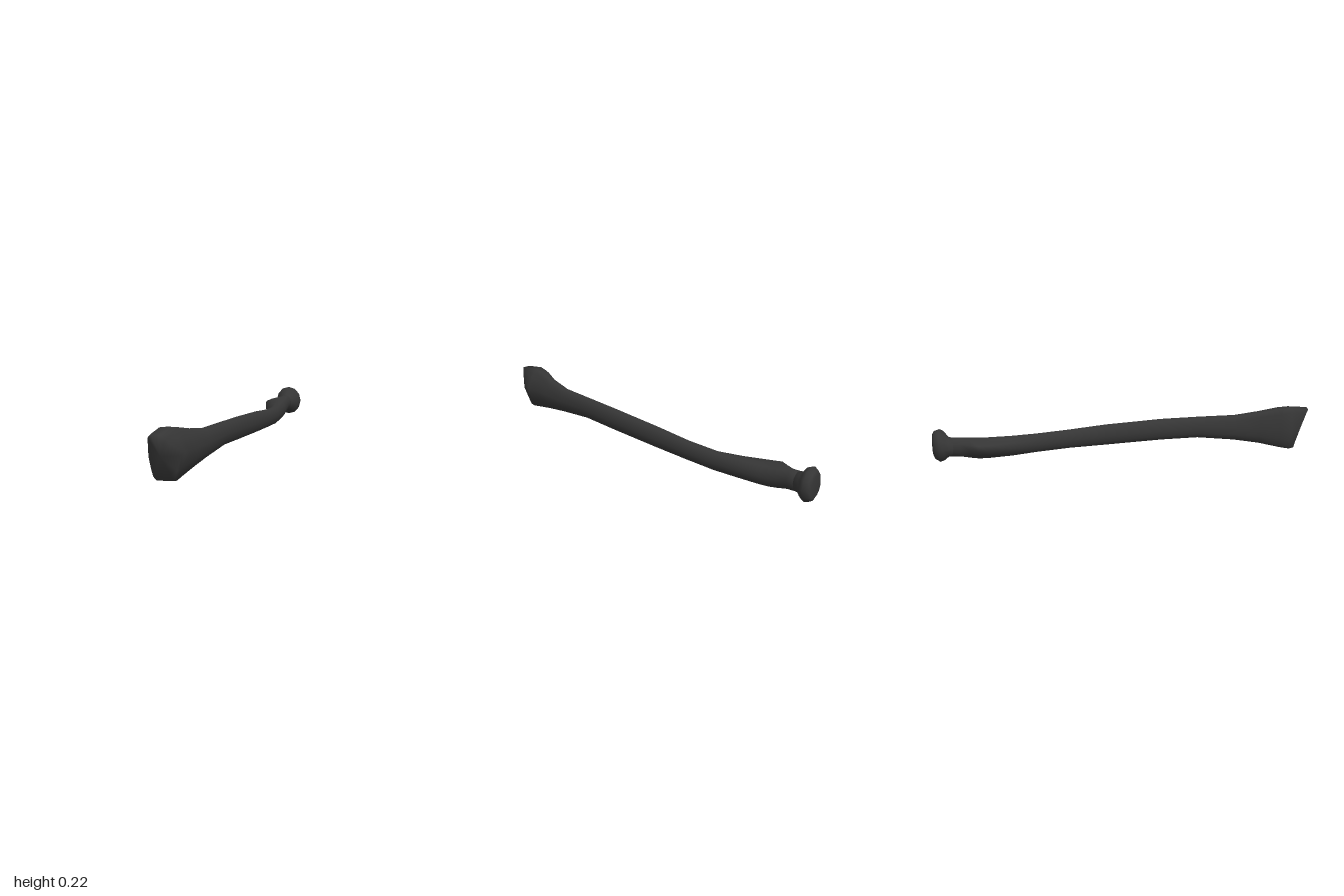
import * as THREE from 'three';

const SIDES = 12;
const material = new THREE.MeshStandardMaterial({ color: 0x363636, roughness: 0.9 });

// Outline of the wide wrist end, fitted in a unit square, counter-clockwise from +x
const WRIST = [
  [1, 0.1], [0.55, 0.6], [0.35, 0.82], [0.1, 1], [-0.5, 1], [-0.8, 0.82],
  [-1, -0.03], [-0.95, -0.5], [-0.87, -0.87], [-0.6, -1], [0.48, -0.98], [0.7, -0.55],
];

// One cross-section: bounds, blend from ellipse to wrist outline, sideways bump
function ring([z, x0, x1, y0, y1, wrist = 0, bump = 0]) {
  const points = [];
  for (let j = 0; j < SIDES; j++) {
    const a = (j / SIDES) * Math.PI * 2;
    const u = THREE.MathUtils.lerp(Math.cos(a), WRIST[j][0], wrist);
    const v = THREE.MathUtils.lerp(Math.sin(a), WRIST[j][1], wrist);
    const push = bump * Math.max(0, Math.cos(a - 2.8)) ** 2;
    points.push(new THREE.Vector3(
      (x0 + x1) / 2 + (u * (x1 - x0)) / 2 - push,
      (y0 + y1) / 2 + (v * (y1 - y0)) / 2 + push * 0.2, z));
  }
  return points;
}

// Skin a list of rings running from -z to +z and close both ends
function loft(name, rings, backCentre, frontCentre) {
  const vertices = [...rings.flat(), backCentre, frontCentre];
  const back = rings.length * SIDES, front = back + 1;
  const last = (rings.length - 1) * SIDES;
  const index = [];
  for (let j = 0; j < SIDES; j++) {
    const k = (j + 1) % SIDES;
    for (let i = 0; i < last; i += SIDES) {
      const a = i + j, b = i + k, c = b + SIDES, d = a + SIDES;
      index.push(a, b, c, a, c, d);
    }
    index.push(back, k, j, front, last + j, last + k);
  }
  const geometry = new THREE.BufferGeometry().setFromPoints(vertices);
  geometry.setIndex(index);
  geometry.computeVertexNormals();
  const mesh = new THREE.Mesh(geometry, material);
  mesh.name = name;
  return mesh;
}

export function createModel() {
  const group = new THREE.Group();
  group.name = 'forearmBone';

  // Shaft sections: z, xMin, xMax, yMin, yMax, wrist blend, bump
  const shaft = [
    [-0.94, -0.015, 0.078, 0.04, 0.137],
    [-0.86, -0.012, 0.065, 0.033, 0.137],
    [-0.81, -0.012, 0.068, 0.022, 0.133, 0, 0.035],
    [-0.77, -0.012, 0.07, 0.015, 0.13, 0, 0.056],
    [-0.72, -0.01, 0.076, 0.013, 0.127, 0, 0.045],
    [-0.6, 0, 0.085, 0.015, 0.124, 0, 0.012],
    [-0.47, 0.025, 0.093, 0.02, 0.123],
    [-0.3, 0.03, 0.095, 0.03, 0.133],
    [-0.1, 0.022, 0.09, 0.038, 0.152],
    [0.2, 0.005, 0.08, 0.053, 0.17, 0.1],
    [0.4, -0.01, 0.062, 0.06, 0.176, 0.2],
    [0.6, -0.03, 0.045, 0.042, 0.18, 0.4],
    [0.73, -0.06, 0.037, 0.026, 0.2, 0.7],
    [0.83, -0.103, 0.034, 0.01, 0.222, 0.95],
    [0.885, -0.12, 0.034, 0.002, 0.227, 1],
  ].map(ring);

  // Slanted wrist rim, furthest forward near the top of the middle
  const rim = ring([0, -0.114, 0.03, 0.006, 0.216, 1]);
  for (const p of rim) p.z = 0.935 + 0.32 * p.y - 0.65 * Math.abs(p.x + 0.05);
  shaft.push(rim);
  group.add(loft('shaft', shaft,
    new THREE.Vector3(0.03, 0.09, -0.94), new THREE.Vector3(-0.045, 0.12, 0.965)));

  // Round disc-like head at the elbow end
  const head = [
    [-1, 0, 0.1, 0.042, 0.155],
    [-0.99, -0.018, 0.11, 0.022, 0.173],
    [-0.965, -0.04, 0.118, 0.009, 0.183],
    [-0.945, -0.034, 0.108, 0.016, 0.174],
    [-0.92, -0.018, 0.082, 0.038, 0.14],
    [-0.88, -0.01, 0.063, 0.038, 0.134],
  ].map(ring);
  group.add(loft('head', head,
    new THREE.Vector3(0.045, 0.097, -0.995), new THREE.Vector3(0.027, 0.086, -0.88)));

  return group;
}
